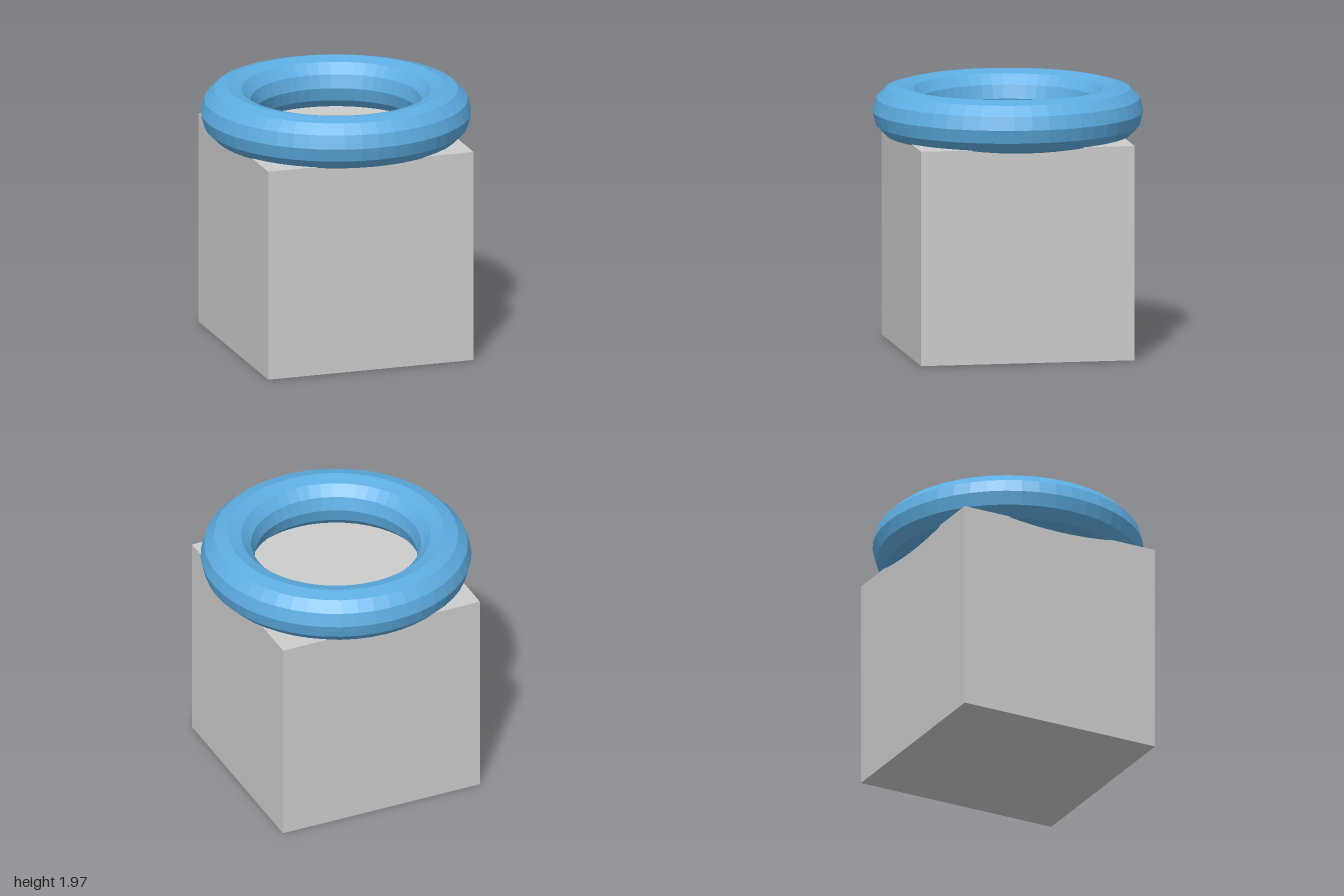
import * as THREE from 'three';

export function createModel() {
  const model = new THREE.Group();
  model.name = 'ringOnBlock';

  const grey = new THREE.MeshStandardMaterial({ color: 0xcccccc, flatShading: true });
  grey.name = 'light grey';
  const blue = new THREE.MeshStandardMaterial({ color: 0x5dade2, flatShading: true });
  blue.name = 'sky blue';

  // Square block standing on the ground
  const block = new THREE.Mesh(new THREE.BoxGeometry(1.6, 1.6, 1.6), grey);
  block.name = 'block';
  block.position.y = 0.8;
  model.add(block);

  // Faceted ring lying flat, sunk slightly into the block's top
  const ring = new THREE.Mesh(new THREE.TorusGeometry(0.8, 0.2, 12, 48), blue);
  ring.name = 'ring';
  ring.rotation.x = Math.PI / 2;
  ring.position.y = 1.765;
  model.add(ring);

  return model;
}
